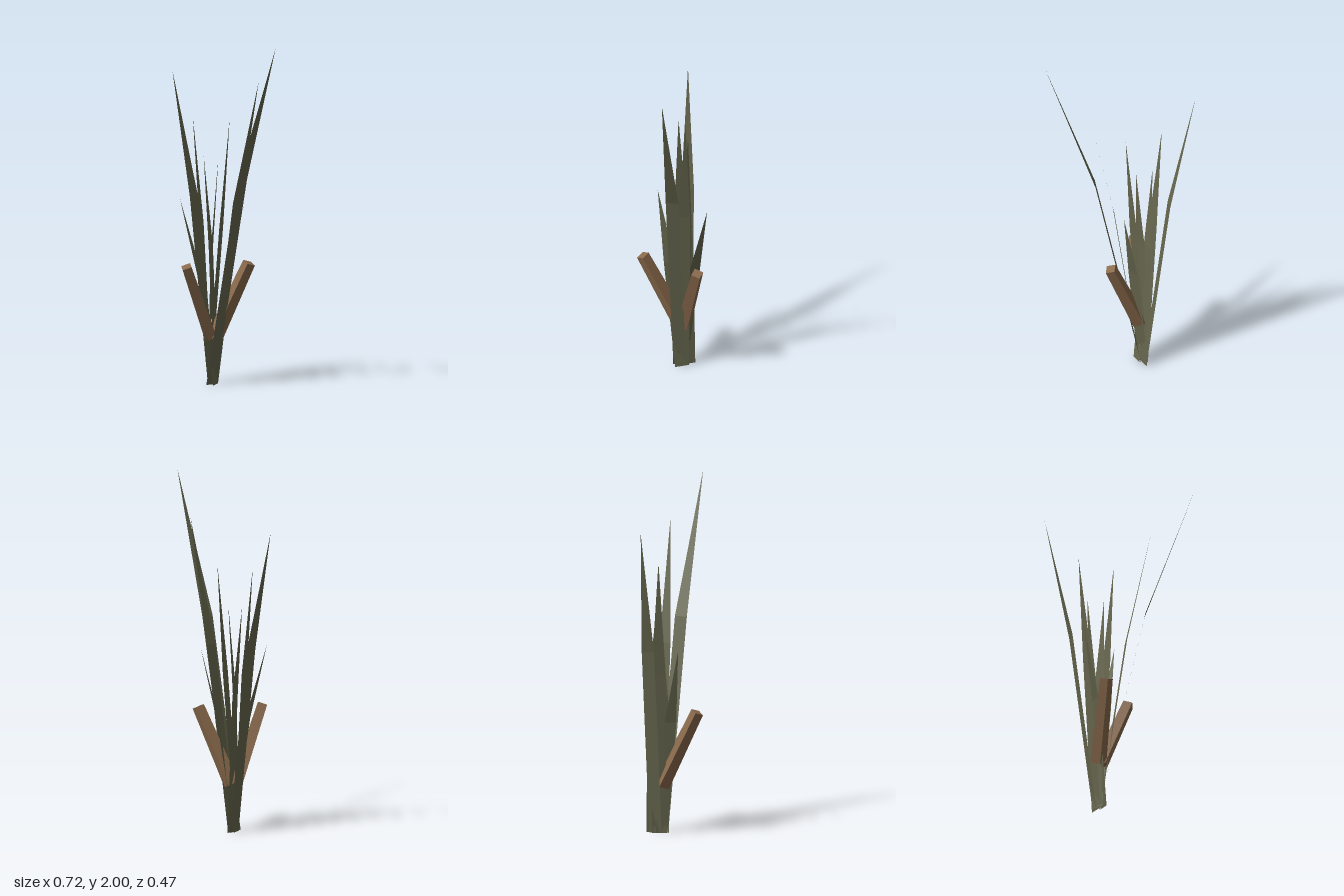
import * as THREE from 'three';

const leafMaterial = new THREE.MeshStandardMaterial({ color: 0x66664e, flatShading: true, side: THREE.DoubleSide });
const woodMaterial = new THREE.MeshStandardMaterial({ color: 0x8a6a4c, flatShading: true });

// Flat blade: a straight strip up to a bend, then a triangle to the tip.
// base, bend and tip are [x, z]; half is the [x, z] half-width; the bend sits at 60% height.
function blade({ base, bend, tip, half, height }) {
  const [hx, hz] = half;
  const y = height * 0.6;
  const geometry = new THREE.BufferGeometry();
  geometry.setAttribute('position', new THREE.Float32BufferAttribute([
    base[0] - hx, 0, base[1] - hz,
    base[0] + hx, 0, base[1] + hz,
    bend[0] + hx, y, bend[1] + hz,
    bend[0] - hx, y, bend[1] - hz,
    tip[0], height, tip[1],
  ], 3));
  geometry.setIndex([0, 1, 2, 0, 2, 3, 3, 2, 4]);
  const flat = geometry.toNonIndexed();
  flat.computeVertexNormals();
  return new THREE.Mesh(flat, leafMaterial);
}

// Four-sided stick, slightly thicker at its lower end.
function stick(from, to, turn) {
  const a = new THREE.Vector3(...from);
  const b = new THREE.Vector3(...to);
  const axis = b.clone().sub(a);
  const geometry = new THREE.CylinderGeometry(0.037, 0.047, axis.length(), 4, 1, false, turn);
  const mesh = new THREE.Mesh(geometry, woodMaterial);
  mesh.position.copy(a).add(b).multiplyScalar(0.5);
  mesh.quaternion.setFromUnitVectors(new THREE.Vector3(0, 1, 0), axis.normalize());
  return mesh;
}

export function createModel() {
  const model = new THREE.Group();
  model.name = 'grassTuft';

  const blades = [
    // Long outer blades
    { name: 'tallBlade', base: [-0.095, -0.07], bend: [0.12, 0.07], tip: [0.355, 0.235], half: [0.02, -0.031], height: 2 },
    { name: 'leftBlade', base: [-0.08, -0.085], bend: [0.065, -0.03], tip: [0.205, 0.025], half: [0.015, -0.029], height: 1.765 },
    { name: 'rightBlade', base: [-0.1, -0.11], bend: [-0.22, -0.172], tip: [-0.36, -0.235], half: [0.015, -0.033], height: 1.765 },
    // Upright inner blades
    { name: 'innerBladeRight', base: [-0.105, -0.09], bend: [-0.158, -0.102], tip: [-0.212, -0.113], half: [0.002, -0.04], height: 1.53 },
    { name: 'innerBladeLeft', base: [-0.11, -0.085], bend: [-0.037, -0.08], tip: [0.012, -0.075], half: [0.002, -0.038], height: 1.53 },
    { name: 'centreBladeRight', base: [-0.08, -0.12], bend: [-0.108, -0.118], tip: [-0.148, -0.113], half: [0.003, -0.038], height: 1.3 },
    { name: 'centreBladeLeft', base: [-0.11, -0.072], bend: [-0.091, -0.075], tip: [-0.055, -0.08], half: [0.003, 0.038], height: 1.3 },
    // Short leaning blades
    { name: 'shortBladeRight', base: [-0.07, -0.065], bend: [-0.155, -0.033], tip: [-0.26, -0.005], half: [0.004, -0.033], height: 1.07 },
    { name: 'shortBladeLeft', base: [-0.1, -0.085], bend: [-0.007, -0.122], tip: [0.085, -0.16], half: [0.007, 0.037], height: 1.07 },
  ];
  for (const spec of blades) {
    const mesh = blade(spec);
    mesh.name = spec.name;
    model.add(mesh);
  }

  // Pair of cut twigs spreading from the clump
  const leftTwig = stick([-0.077, 0.27, -0.087], [0.123, 0.705, -0.083], 0);
  leftTwig.name = 'leftTwig';
  const frontTwig = stick([-0.1, 0.27, -0.075], [-0.193, 0.703, 0.115], -0.42);
  frontTwig.name = 'frontTwig';
  model.add(leftTwig, frontTwig);

  return model;
}
